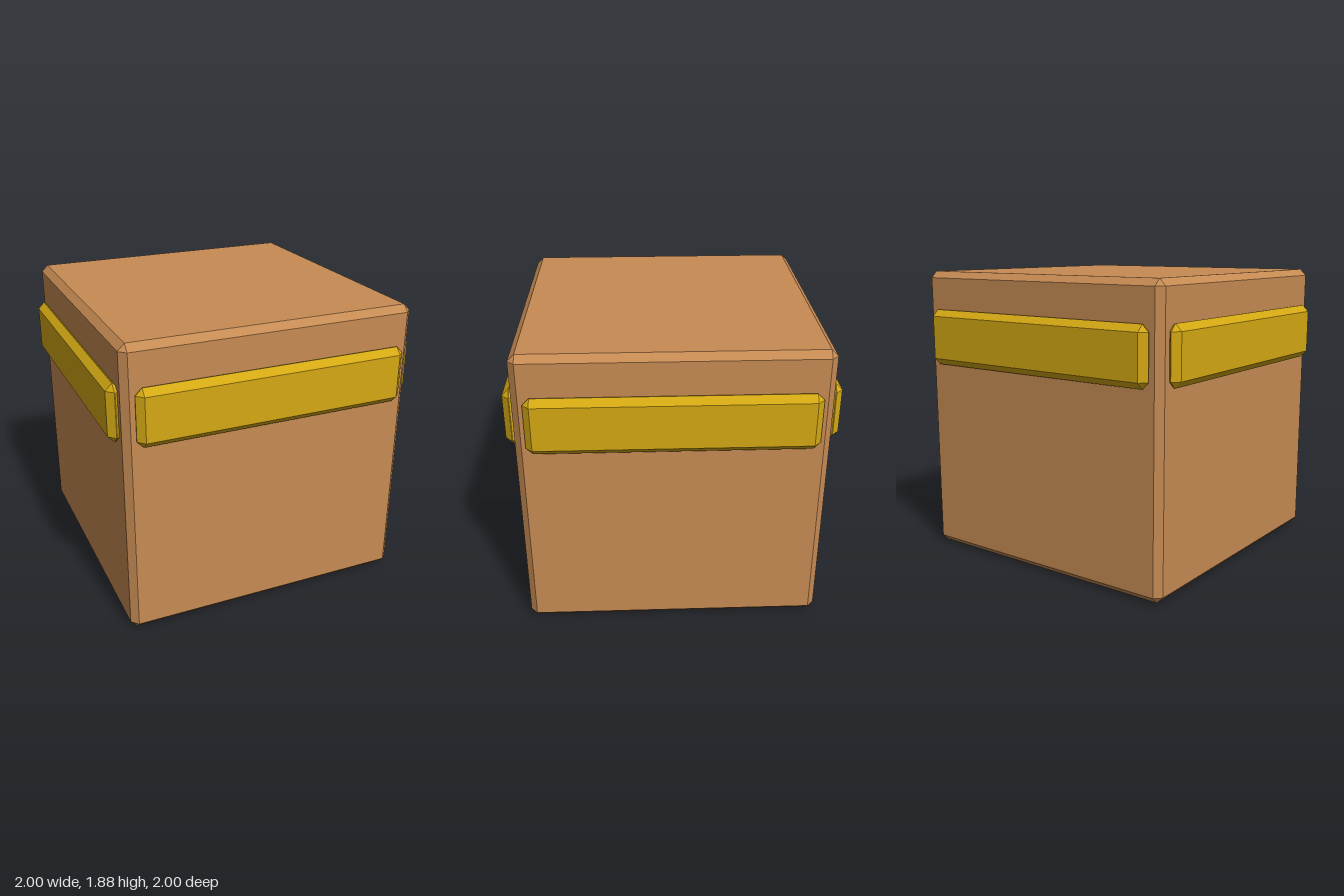
import * as THREE from 'three';
import { ConvexGeometry } from 'three/addons/geometries/ConvexGeometry.js';

// Box with every edge cut at 45 degrees: each corner becomes three points
function chamferBox(w, h, d, c) {
  const points = [];
  for (const sx of [-1, 1]) for (const sy of [-1, 1]) for (const sz of [-1, 1]) {
    const x = w / 2, y = h / 2, z = d / 2;
    points.push(
      new THREE.Vector3(sx * x, sy * (y - c), sz * (z - c)),
      new THREE.Vector3(sx * (x - c), sy * y, sz * (z - c)),
      new THREE.Vector3(sx * (x - c), sy * (y - c), sz * z)
    );
  }
  return new ConvexGeometry(points);
}

export function createModel() {
  const group = new THREE.Group();
  const brown = new THREE.MeshStandardMaterial({ color: 0xc68b53, flatShading: true });
  const gold = new THREE.MeshStandardMaterial({ color: 0xd4a813, flatShading: true });

  // Crate body
  const body = new THREE.Mesh(chamferBox(1.877, 1.88, 1.877, 0.042), brown);
  body.name = 'body';
  body.position.y = 0.94;
  group.add(body);

  // One raised band, half sunk into each of the four sides
  const bandGeometry = chamferBox(1.738, 0.364, 0.088, 0.042);
  ['frontBand', 'leftBand', 'backBand', 'rightBand'].forEach((name, i) => {
    const band = new THREE.Mesh(bandGeometry, gold);
    const angle = i * Math.PI / 2;
    band.name = name;
    band.position.set(Math.sin(angle) * 0.956, 1.45, Math.cos(angle) * 0.956);
    band.rotation.y = angle;
    group.add(band);
  });

  return group;
}
